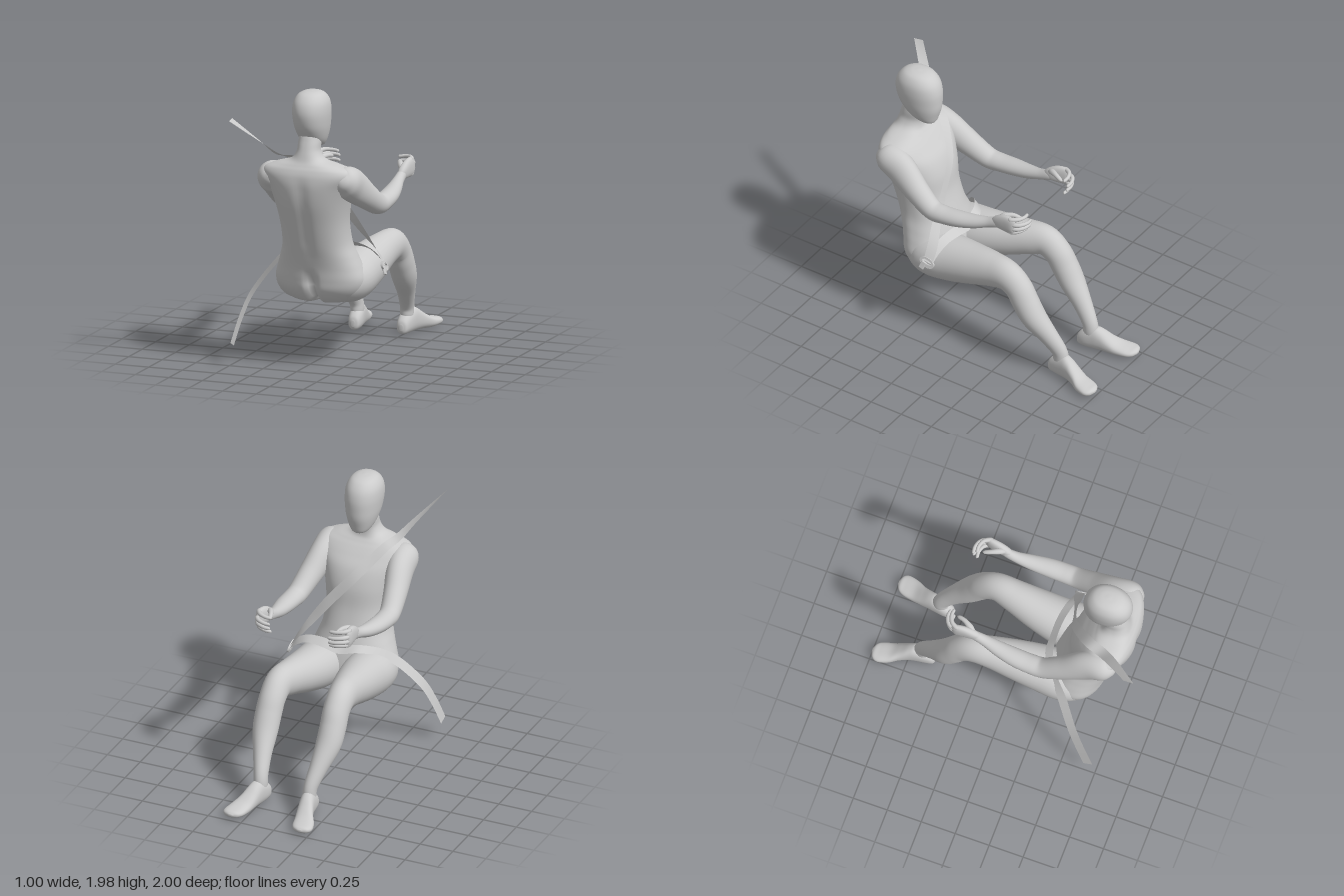
import * as THREE from 'three';
import { RoundedBoxGeometry } from 'three/addons/geometries/RoundedBoxGeometry.js';

const CX = 0.07; // the body's middle plane
const skin = new THREE.MeshStandardMaterial({ color: 0xcccccc });
const thin = new THREE.MeshStandardMaterial({ color: 0xcccccc, side: THREE.DoubleSide });

function mesh(name, geometry, material = skin) {
  const m = new THREE.Mesh(geometry, material);
  m.name = name;
  return m;
}

function surface(positions, index) {
  const g = new THREE.BufferGeometry();
  g.setAttribute('position', new THREE.Float32BufferAttribute(positions, 3));
  g.setIndex(index);
  g.computeVertexNormals();
  return g;
}

const curve = (pts) => new THREE.CatmullRomCurve3(pts, false, 'catmullrom', 0.5);

// Smooth closed body through sections [x offset, y, z, half width, half depth].
// Sections stand square to the path, or to a fixed axis if one is given.
function loft(sections, { s = 1, ref = [1, 0, 0], axis, power = 2, sides = 32, steps = 6 } = {}) {
  const path = curve(sections.map(([x, y, z]) => new THREE.Vector3(CX + s * x, y, z)));
  const sizes = curve(sections.map((q) => new THREE.Vector3(q[3], q[4], 0)));
  const n = (sections.length - 1) * steps;
  const pos = [], idx = [];
  const refV = new THREE.Vector3(...ref);
  const bend = (v) => Math.sign(v) * Math.abs(v) ** (2 / power);
  for (let i = 0; i <= n; i++) {
    const c = path.getPoint(i / n), r = sizes.getPoint(i / n);
    const t = axis ? new THREE.Vector3(...axis) : path.getTangent(i / n);
    const side = refV.clone().addScaledVector(t, -refV.dot(t)).normalize();
    const up = t.clone().cross(side);
    for (let j = 0; j < sides; j++) {
      const a = (j / sides) * Math.PI * 2;
      const p = c.clone()
        .addScaledVector(side, Math.max(r.x, 0.002) * bend(Math.cos(a)))
        .addScaledVector(up, Math.max(r.y, 0.002) * bend(Math.sin(a)));
      pos.push(p.x, p.y, p.z);
      if (i < n) {
        const k = (j + 1) % sides, o = i * sides;
        idx.push(o + j, o + k, o + sides + j, o + k, o + sides + k, o + sides + j);
      }
    }
  }
  // end caps
  const first = path.getPoint(0), last = path.getPoint(1), base = pos.length / 3;
  pos.push(first.x, first.y, first.z, last.x, last.y, last.z);
  for (let j = 0; j < sides; j++) {
    const k = (j + 1) % sides;
    idx.push(base, k, j, base + 1, n * sides + j, n * sides + k);
  }
  return surface(pos, idx);
}

// Strap through points [x, y, z, then half-width vector]
function strap(points) {
  const mid = curve(points.map((p) => new THREE.Vector3(p[0], p[1], p[2])));
  const half = curve(points.map((p) => new THREE.Vector3(p[3], p[4], p[5])));
  const n = (points.length - 1) * 6, pos = [], idx = [];
  for (let i = 0; i <= n; i++) {
    const c = mid.getPoint(i / n), w = half.getPoint(i / n);
    pos.push(c.x - w.x, c.y - w.y, c.z - w.z, c.x + w.x, c.y + w.y, c.z + w.z);
    if (i < n) idx.push(2 * i, 2 * i + 1, 2 * i + 2, 2 * i + 1, 2 * i + 3, 2 * i + 2);
  }
  return surface(pos, idx);
}

function makeTorso() {
  const g = loft([
    [0, 0.455, 0.44, 0.07, 0.04], [0, 0.47, 0.44, 0.19, 0.12], [0, 0.51, 0.44, 0.265, 0.17],
    [0, 0.57, 0.448, 0.31, 0.2], [0, 0.64, 0.458, 0.325, 0.205], [0, 0.72, 0.475, 0.302, 0.203],
    [0, 0.8, 0.5, 0.272, 0.203], [0, 0.9, 0.535, 0.242, 0.205], [0, 1.05, 0.582, 0.24, 0.208],
    [0, 1.2, 0.617, 0.265, 0.22], [0, 1.32, 0.65, 0.3, 0.208], [0, 1.4, 0.68, 0.338, 0.175],
    [0, 1.45, 0.695, 0.318, 0.145], [0, 1.482, 0.702, 0.235, 0.12], [0, 1.515, 0.705, 0.125, 0.1],
    [0, 1.57, 0.698, 0.082, 0.09], [0, 1.64, 0.675, 0.076, 0.092], [0, 1.71, 0.65, 0.065, 0.09],
    [0, 1.75, 0.64, 0.03, 0.04],
  ], { axis: [0, 1, 0], power: 2.3, sides: 96 });
  // cleft between the buttocks and a faint groove along the spine
  const p = g.attributes.position;
  for (let i = 0; i < p.count; i++) {
    const x = p.getX(i), y = p.getY(i), z = p.getZ(i);
    const dx = (x - CX) / 0.03;
    const low = THREE.MathUtils.smoothstep(0.74 - y, 0, 0.14) * THREE.MathUtils.smoothstep(z, 0.4, 0.5);
    const g1 = 0.28 * low * Math.exp(-dx * dx);
    const spine = THREE.MathUtils.smoothstep(y, 0.75, 0.95) * THREE.MathUtils.smoothstep(1.45 - y, 0, 0.15);
    const g2 = z > 0.65 ? 0.012 * spine * Math.exp(-dx * dx * 0.4) : 0;
    p.setXYZ(i, x, y + g1 * (0.62 - y), z + g1 * (0.45 - z) - g2);
  }
  g.computeVertexNormals();
  return mesh('torsoAndNeck', g);
}

function makeLeg(s) {
  const leg = new THREE.Group();
  leg.name = s > 0 ? 'leftLeg' : 'rightLeg';
  // hip, thigh, knee and calf in one run
  leg.add(mesh('thighAndCalf', loft([
    [0.15, 0.605, 0.585, 0.02, 0.02], [0.155, 0.605, 0.55, 0.105, 0.1], [0.168, 0.61, 0.47, 0.158, 0.148],
    [0.18, 0.62, 0.37, 0.176, 0.166], [0.185, 0.64, 0.22, 0.165, 0.165], [0.2, 0.675, 0.05, 0.143, 0.147],
    [0.22, 0.713, -0.12, 0.115, 0.127], [0.238, 0.725, -0.25, 0.097, 0.114], [0.242, 0.665, -0.345, 0.092, 0.1],
    [0.245, 0.57, -0.405, 0.092, 0.097], [0.24, 0.46, -0.472, 0.088, 0.09], [0.215, 0.33, -0.572, 0.064, 0.07],
    [0.19, 0.21, -0.65, 0.049, 0.058], [0.185, 0.13, -0.662, 0.045, 0.056], [0.185, 0.06, -0.66, 0.025, 0.03],
  ], { s })));
  leg.add(mesh('foot', loft([
    [0.18, 0.06, -0.562, 0.012, 0.02], [0.18, 0.066, -0.578, 0.038, 0.05], [0.183, 0.085, -0.63, 0.051, 0.075],
    [0.193, 0.1, -0.7, 0.054, 0.09], [0.203, 0.093, -0.75, 0.056, 0.081], [0.22, 0.071, -0.81, 0.063, 0.06],
    [0.243, 0.052, -0.87, 0.074, 0.043], [0.26, 0.047, -0.94, 0.075, 0.031], [0.264, 0.048, -0.98, 0.055, 0.023],
    [0.262, 0.049, -1.0, 0.015, 0.008],
  ], { s, axis: [0, 0, -1], power: 2.3 })));
  return leg;
}

function makeArm(s) {
  const arm = new THREE.Group();
  arm.name = s > 0 ? 'leftArm' : 'rightArm';
  arm.add(mesh('shoulderToWrist', loft([
    [0.25, 1.4, 0.79, 0.02, 0.02], [0.258, 1.388, 0.76, 0.075, 0.07], [0.27, 1.37, 0.7, 0.105, 0.11],
    [0.29, 1.32, 0.59, 0.094, 0.118], [0.325, 1.22, 0.44, 0.082, 0.092], [0.35, 1.14, 0.3, 0.073, 0.073],
    [0.354, 1.136, 0.2, 0.071, 0.062], [0.35, 1.15, 0.08, 0.067, 0.056], [0.338, 1.172, -0.04, 0.055, 0.048],
    [0.325, 1.205, -0.15, 0.039, 0.038], [0.323, 1.235, -0.23, 0.03, 0.04], [0.326, 1.25, -0.27, 0.015, 0.02],
  ], { s })));
  arm.add(mesh('palm', loft([
    [0.324, 1.215, -0.17, 0.012, 0.015], [0.325, 1.242, -0.23, 0.03, 0.047], [0.333, 1.262, -0.3, 0.03, 0.066],
    [0.34, 1.268, -0.36, 0.024, 0.066], [0.335, 1.268, -0.385, 0.01, 0.045],
  ], { s, power: 2.4 })));
  // four fingers curling inward, stacked in height
  [[1.32, -0.015], [1.285, 0.012], [1.25, 0.008], [1.215, -0.015]].forEach(([y, reach], i) => {
    const z = -reach;
    arm.add(mesh('finger' + (i + 1), loft([
      [0.345, y, -0.335, 0.014, 0.014], [0.34, y, -0.375 + z, 0.017, 0.017], [0.315, y + 0.003, -0.41 + z, 0.015, 0.015],
      [0.27, y, -0.428 + z, 0.013, 0.013], [0.23, y - 0.004, -0.425 + z, 0.011, 0.011], [0.222, y - 0.004, -0.423 + z, 0.004, 0.004],
    ], { s, ref: [0, 1, 0], sides: 12, steps: 4 })));
  });
  arm.add(mesh('thumb', loft([
    [0.32, 1.265, -0.23, 0.015, 0.015], [0.298, 1.29, -0.265, 0.022, 0.022], [0.27, 1.3, -0.315, 0.017, 0.017],
    [0.255, 1.29, -0.36, 0.014, 0.014], [0.252, 1.285, -0.378, 0.004, 0.004],
  ], { s, ref: [0, 1, 0], sides: 12, steps: 4 })));
  return arm;
}

function makeBuckle() {
  const buckle = new THREE.Group();
  buckle.name = 'buckle';
  // slotted tongue plate
  const plate = new THREE.Shape();
  plate.absellipse(0, 0, 0.058, 0.036, 0, Math.PI * 2);
  const slot = new THREE.Path();
  slot.absellipse(0, 0.006, 0.04, 0.016, 0, Math.PI * 2, true);
  plate.holes.push(slot);
  const g = new THREE.ExtrudeGeometry(plate, { depth: 0.014, bevelEnabled: false, curveSegments: 16 });
  const tongue = mesh('tonguePlate', g.translate(0, 0, -0.007).rotateY(Math.PI / 2));
  const latch = mesh('latch', new RoundedBoxGeometry(0.016, 0.06, 0.04, 2, 0.006));
  latch.position.set(0.002, -0.035, 0.02);
  buckle.add(tongue, latch);
  buckle.position.set(0.475, 0.705, 0.305);
  buckle.rotation.set(-0.3, 0, 0.3);
  return buckle;
}

export function createModel() {
  const model = new THREE.Group();
  model.name = 'seatedFigure';
  model.add(makeTorso());

  model.add(mesh('head', loft([
    [0, 1.577, 0.545, 0.012, 0.015], [0, 1.583, 0.555, 0.04, 0.042], [0, 1.6, 0.575, 0.066, 0.075],
    [0, 1.64, 0.602, 0.09, 0.115], [0, 1.7, 0.62, 0.109, 0.149], [0, 1.76, 0.633, 0.12, 0.167],
    [0, 1.84, 0.641, 0.127, 0.174], [0, 1.91, 0.643, 0.12, 0.157], [0, 1.96, 0.643, 0.093, 0.117],
    [0, 1.982, 0.643, 0.055, 0.068], [0, 1.989, 0.643, 0.01, 0.012],
  ], { axis: [0, 1, 0], power: 2.15, sides: 40 })));

  for (const s of [1, -1]) model.add(makeLeg(s), makeArm(s));

  // belt across the chest, from behind the right shoulder to the left hip
  model.add(mesh('shoulderBelt', strap([
    [-0.405, 1.805, 0.965, 0.003, -0.004, 0.035], [-0.25, 1.625, 0.79, 0.02, 0, 0.03], [-0.17, 1.525, 0.685, 0.03, 0.004, 0.02],
    [-0.12, 1.488, 0.575, 0.03, 0.012, 0.018], [-0.05, 1.405, 0.488, 0.027, 0.02, 0.015], [0.05, 1.285, 0.398, 0.026, 0.022, 0.008],
    [0.19, 1.12, 0.355, 0.027, 0.022, 0.004], [0.31, 0.96, 0.33, 0.025, 0.015, 0.018],
    [0.41, 0.82, 0.3, 0.012, 0.01, 0.032], [0.475, 0.72, 0.295, 0, 0.008, 0.036],
  ]), thin));

  // belt over the lap, from the left hip down past the right hip
  model.add(mesh('lapBelt', strap([
    [0.478, 0.71, 0.3, 0.005, 0.01, 0.034], [0.41, 0.775, 0.28, 0.012, 0.012, 0.03], [0.32, 0.82, 0.26, 0.004, 0.015, 0.03],
    [0.2, 0.828, 0.24, 0, 0.022, 0.028], [0.07, 0.805, 0.236, 0, 0.024, 0.026], [-0.07, 0.828, 0.255, -0.006, 0.018, 0.03],
    [-0.19, 0.79, 0.335, -0.01, 0.014, 0.032], [-0.29, 0.69, 0.43, 0, 0.016, 0.034], [-0.41, 0.5, 0.545, 0, 0.016, 0.033],
    [-0.465, 0.33, 0.625, 0, 0.016, 0.033], [-0.5, 0.15, 0.7, 0, 0.015, 0.033],
  ]), thin));

  model.add(makeBuckle());
  return model;
}
